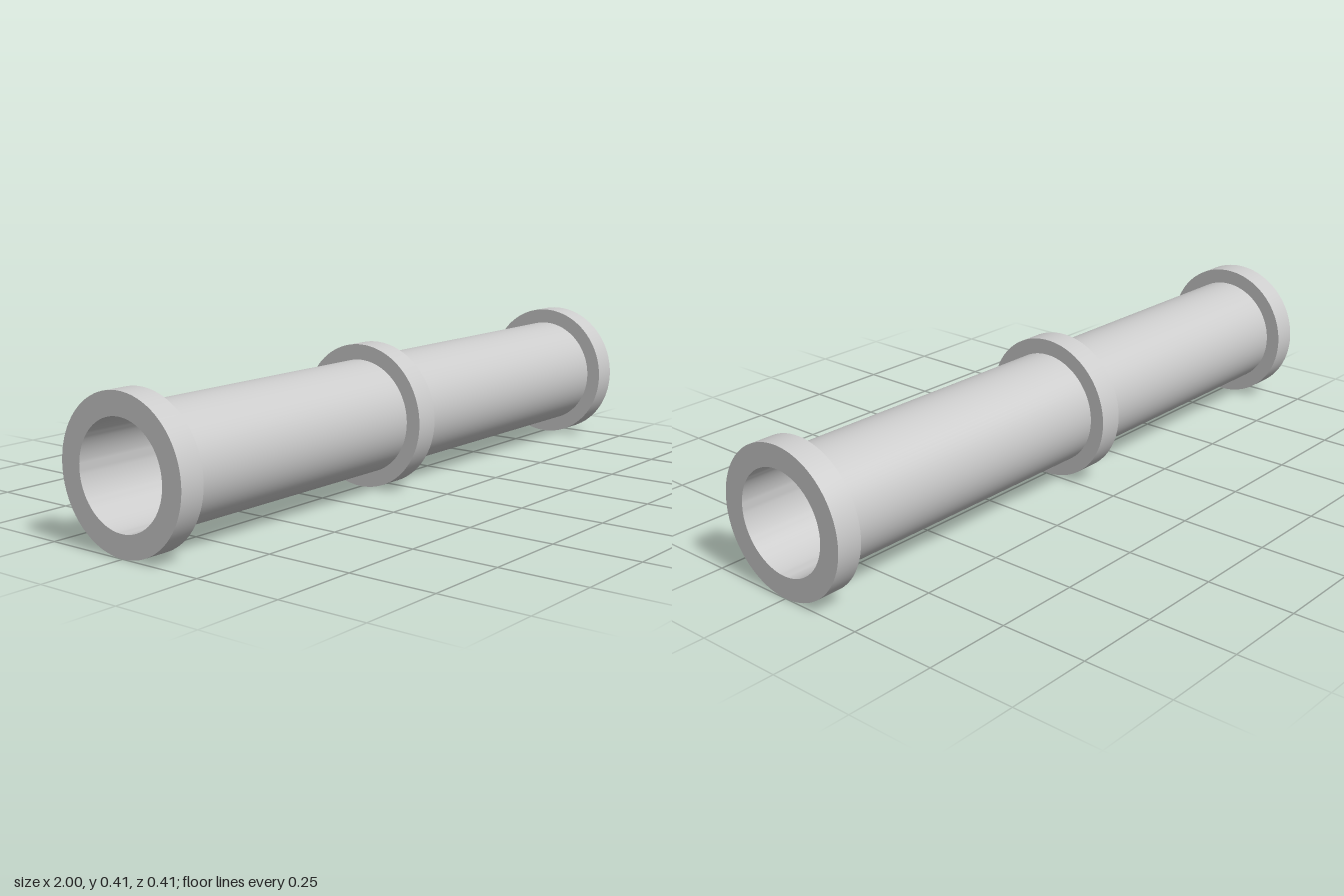
import * as THREE from 'three';
import { toCreasedNormals } from 'three/addons/utils/BufferGeometryUtils.js';

const BORE = 0.144, PIPE = 0.163, FLANGE = 0.207;
const material = new THREE.MeshStandardMaterial({ color: 0xcccccc });

// Revolve a profile of [radius, x] points around the x axis.
function revolve(name, profile) {
  const points = profile.map(([r, x]) => new THREE.Vector2(r, x));
  const geometry = toCreasedNormals(new THREE.LatheGeometry(points, 96), Math.PI / 6);
  geometry.rotateZ(-Math.PI / 2);
  const mesh = new THREE.Mesh(geometry, material);
  mesh.name = name;
  return mesh;
}

export function createModel() {
  const group = new THREE.Group();
  group.name = 'flangedPipe';

  // Pipe walls between the flanges, and the bore running right through
  group.add(
    revolve('rightPipe', [[PIPE, -0.927], [PIPE, -0.075]]),
    revolve('leftPipe', [[PIPE, -0.003], [PIPE, 0.927]]),
    revolve('bore', [[BORE, 1], [BORE, -1]]),
  );

  // End flanges reach in to the bore on their outer faces
  group.add(
    revolve('rightEndFlange', [[BORE, -1], [FLANGE, -1], [FLANGE, -0.927], [PIPE, -0.927]]),
    revolve('leftEndFlange', [[PIPE, 0.927], [FLANGE, 0.927], [FLANGE, 1], [BORE, 1]]),
  );

  // Collar near the middle
  group.add(revolve('middleFlange', [[PIPE, -0.075], [FLANGE, -0.075], [FLANGE, -0.003], [PIPE, -0.003]]));

  group.children.forEach((part) => { part.position.y = FLANGE; });
  return group;
}
